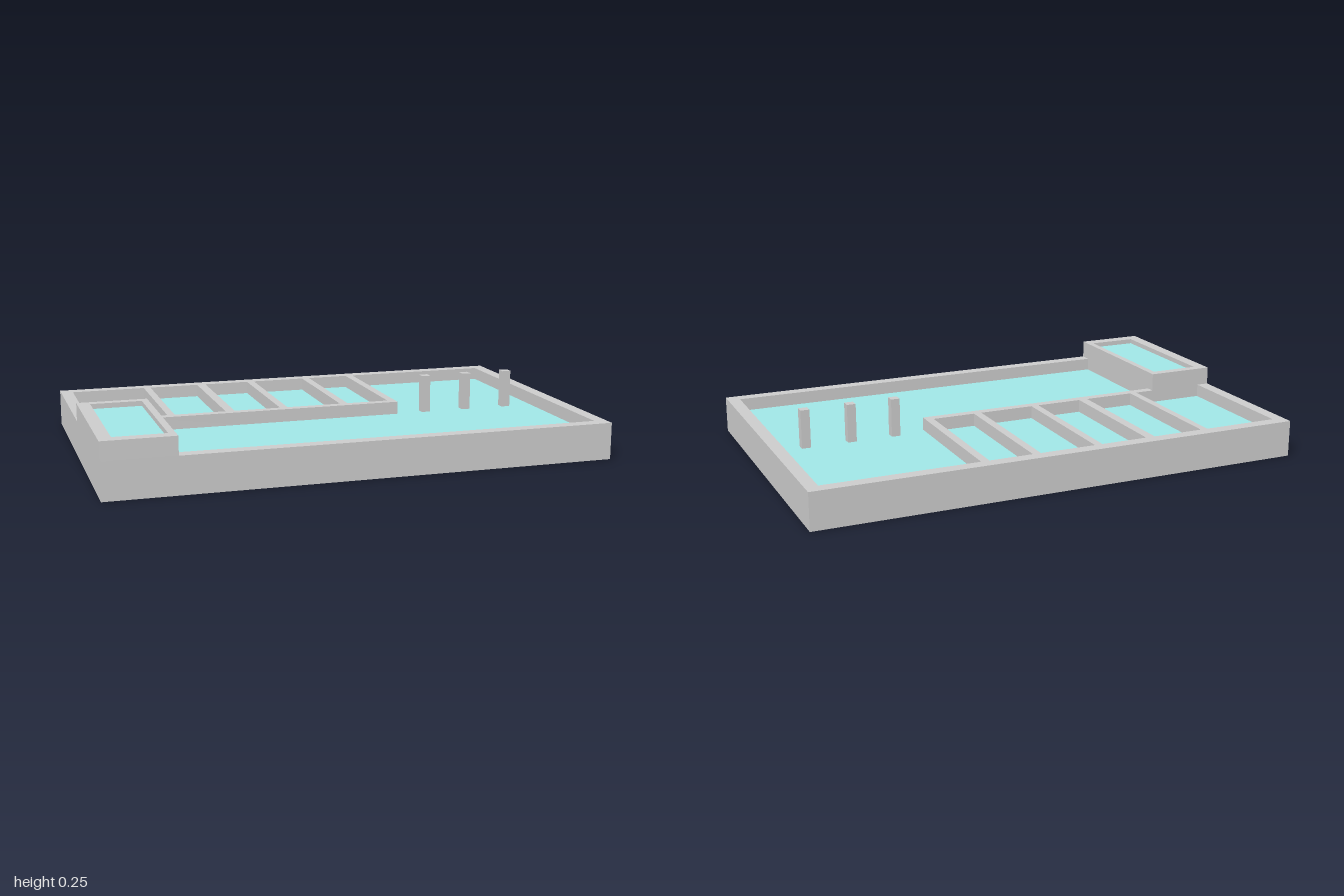
import * as THREE from 'three';

const BASE = 0.004, TOP = 0.147, WATER = 0.095;
const RAISED_TOP = 0.22, RAISED_WATER = 0.2;
const HALF_WALL = 0.018; // half thickness of the long middle wall and the posts

// Outline of a rectangle in plan, as [x, z] corners, anticlockwise from above
const rect = (x0, x1, z0, z1) => [[x0, z1], [x1, z1], [x1, z0], [x0, z0]];
const points = (outline) => outline.map(([x, z]) => new THREE.Vector2(x, -z));

export function createModel() {
  const model = new THREE.Group();
  model.name = 'poolComplex';
  const stone = new THREE.MeshStandardMaterial({ color: 0xcccccc });
  const water = new THREE.MeshStandardMaterial({ color: 0xa0e6e6, side: THREE.DoubleSide });

  function add(name, geometry, material, x = 0, y = 0, z = 0) {
    const mesh = new THREE.Mesh(geometry, material);
    mesh.name = name;
    mesh.position.set(x, y, z);
    model.add(mesh);
  }

  // Walls standing between two heights, with open basins cut through
  function addWalls(name, outline, basins, y0, y1) {
    const shape = new THREE.Shape(points(outline));
    shape.holes = basins.map((b) => new THREE.Path(points(b)));
    const geometry = new THREE.ExtrudeGeometry(shape, { depth: y1 - y0, bevelEnabled: false });
    add(name, geometry.rotateX(-Math.PI / 2), stone, 0, y0);
  }

  function addWater(name, outline, y) {
    const geometry = new THREE.ShapeGeometry(new THREE.Shape(points(outline)));
    add(name, geometry.rotateX(-Math.PI / 2), water, 0, y);
  }

  // Plan of the basins
  const smallPools = [[-0.95, -0.64], [-0.61, -0.4], [-0.362, -0.17], [-0.138, 0.09], [0.123, 0.3]]
    .map(([x0, x1]) => rect(x0, x1, -0.58, -HALF_WALL));
  const raisedPool = rect(-0.95, -0.747, HALF_WALL, 0.58);
  const mainPool = [[-0.72, 0.58], [0.95, 0.58], [0.95, -0.58],
    [0.333, -0.58], [0.333, HALF_WALL], [-0.72, HALF_WALL]];

  // Floor slab and walls
  add('floorSlab', new THREE.BoxGeometry(2, BASE, 1.26), stone, 0, BASE / 2);
  addWalls('poolWalls', rect(-1, 1, -0.63, 0.63), [...smallPools, raisedPool, mainPool], BASE, TOP);
  addWalls('raisedPoolRim', rect(-1, -0.72, -HALF_WALL, 0.63), [raisedPool], TOP, RAISED_TOP);

  // Water surfaces
  addWater('mainPoolWater', mainPool, WATER);
  smallPools.forEach((pool, i) => addWater('smallPoolWater' + (i + 1), pool, WATER));
  addWater('raisedPoolWater', raisedPool, RAISED_WATER);

  // Row of posts in the main pool
  const postHeight = 0.25 - BASE;
  [0.462, 0.645, 0.832].forEach((x, i) => {
    const post = new THREE.BoxGeometry(2 * HALF_WALL, postHeight, 2 * HALF_WALL);
    add('post' + (i + 1), post, stone, x, BASE + postHeight / 2);
  });

  return model;
}
